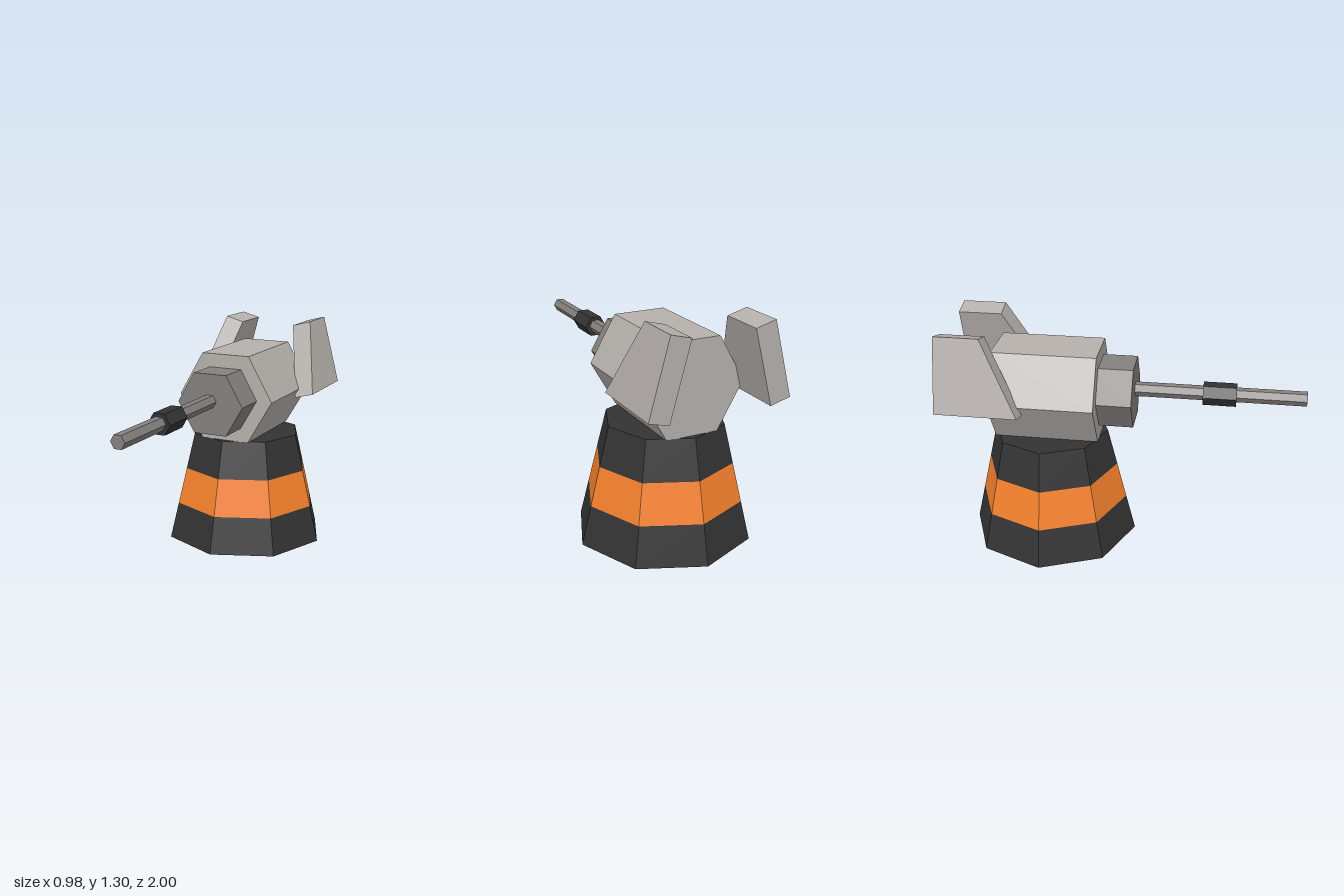
import * as THREE from 'three';

const paint = (color) => new THREE.MeshStandardMaterial({ color, flatShading: true });

export function createModel() {
  const model = new THREE.Group();
  const dark = paint(0x333333);
  const orange = paint(0xf5812d);
  const lightGrey = paint(0xb5b0ac);
  const midGrey = paint(0x84807d);

  const add = (name, geometry, material, x, y, z) => {
    const mesh = new THREE.Mesh(geometry, material);
    mesh.name = name;
    mesh.position.set(x, y, z);
    model.add(mesh);
    return mesh;
  };

  // Tapered octagonal pedestal in three colour bands
  const baseHeight = 0.657, bottomRadius = 0.49, topRadius = 0.33, band = baseHeight / 3;
  const radiusAt = (i) => THREE.MathUtils.lerp(bottomRadius, topRadius, i / 3);
  ['pedestalFoot', 'pedestalStripe', 'pedestalTop'].forEach((name, i) => {
    const geometry = new THREE.CylinderGeometry(radiusAt(i + 1), radiusAt(i), band, 8);
    add(name, geometry, i === 1 ? orange : dark, 0, band * (i + 0.5), -0.44);
  });

  // Hexagonal prism along z, flat on top
  const hexPrism = (name, radius, zBack, zFront, y, material) => {
    const geometry = new THREE.CylinderGeometry(radius, radius, zFront - zBack, 6);
    geometry.rotateY(Math.PI / 6).rotateX(Math.PI / 2);
    add(name, geometry, material, 0, y, (zBack + zFront) / 2);
  };
  hexPrism('turretBody', 0.295, -0.735, -0.145, 0.912, lightGrey);
  hexPrism('barrelMount', 0.202, -0.16, 0.05, 0.913, midGrey);
  hexPrism('barrel', 0.041, 0.03, 1, 0.932, midGrey);
  hexPrism('barrelCollar', 0.065, 0.43, 0.615, 0.93, dark);

  // Swept rear fins leaning inward: side profile in (z, height), extruded across
  const half = 0.211, width = 0.116;
  const profile = new THREE.Shape([
    new THREE.Vector2(-1, -half),
    new THREE.Vector2(-0.54, -half),
    new THREE.Vector2(-0.75, half),
    new THREE.Vector2(-1, half),
  ]);
  const finGeometry = new THREE.ExtrudeGeometry(profile, { depth: width, bevelEnabled: false });
  finGeometry.translate(0, 0, -width / 2).rotateY(-Math.PI / 2);
  for (const side of [1, -1]) {
    const fin = add(side > 0 ? 'leftFin' : 'rightFin', finGeometry, lightGrey, side * 0.283, 1.081, 0);
    fin.rotation.z = side * 0.26;
  }

  return model;
}
